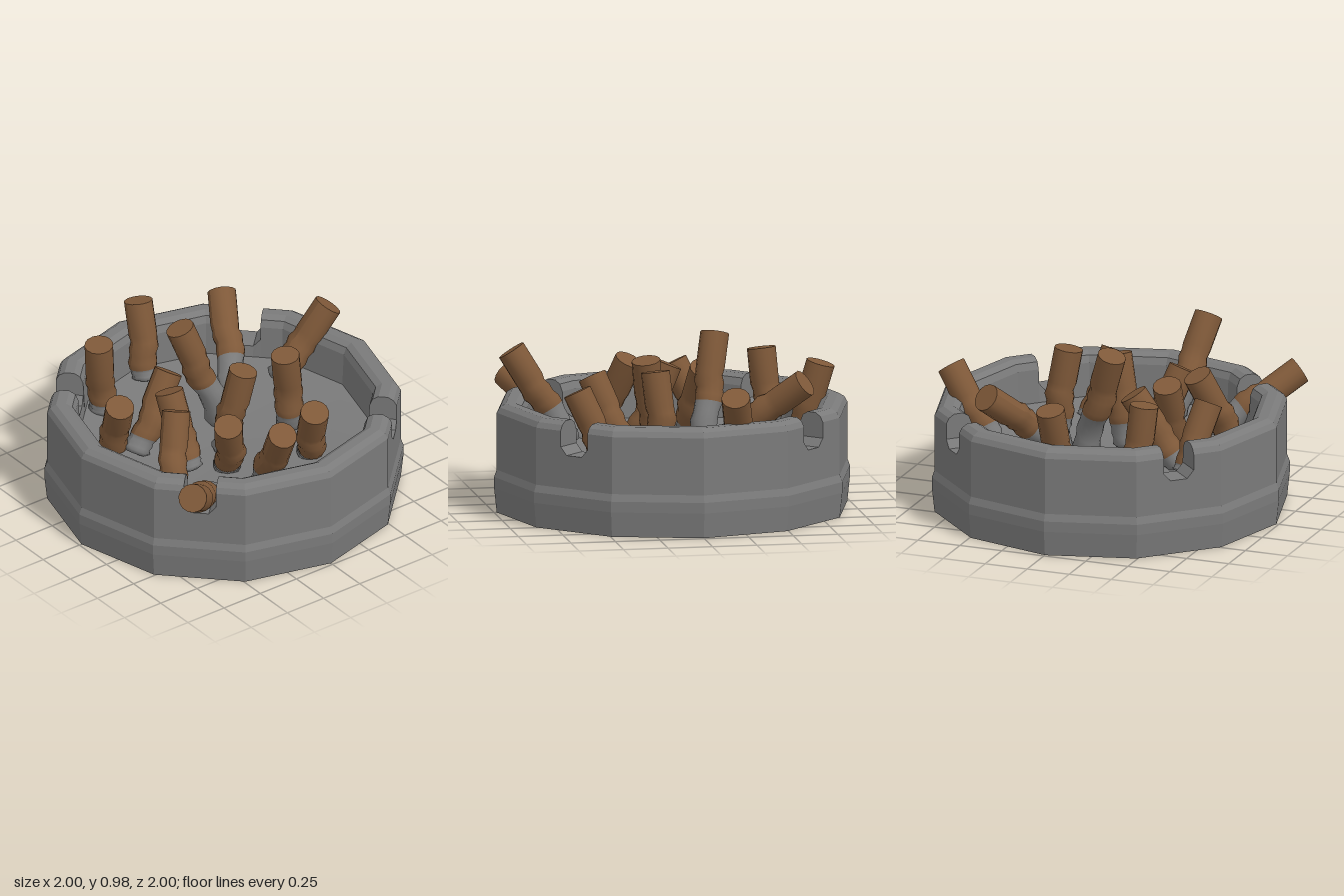
import * as THREE from 'three';

const ashGrey = new THREE.MeshStandardMaterial({ color: 0x7a7a7a });
const glass = new THREE.MeshStandardMaterial({ color: 0x7a7a7a, flatShading: true });
const brownPaper = new THREE.MeshStandardMaterial({ color: 0x7f5939 });
const v2 = (list) => list.map(([x, y]) => new THREE.Vector2(x, y));

function addMesh(parent, name, geometry, material) {
  const mesh = new THREE.Mesh(geometry, material);
  mesh.name = name;
  parent.add(mesh);
}

// Twelve-sided wall; the profile is lowered at the four diagonal notches.
function wallGeometry() {
  const profile = [[0.985, 0], [1, 0.14], [1, 0.2], [0.985, 0.24], [0.985, 0.56], [0.968, 0.59],
    [0.935, 0.61], [0.88, 0.61], [0.845, 0.59], [0.828, 0.55], [0.818, 0.36]];
  // Each station: offset along the side (null = corner), height limit, corner sign.
  const plain = [[null, 9, -1], [null, 9, 1]];
  const notched = [plain[0], [-0.09, 9], [-0.09, 0.47], [-0.05, 0.425],
    [0.05, 0.425], [0.09, 0.47], [0.09, 9], plain[1]];
  const pos = [], index = [], n = profile.length;
  for (let side = 0; side < 12; side++) {
    const angle = (side + 0.5) * Math.PI / 6, c = Math.cos(angle), s = Math.sin(angle);
    const stations = side % 3 === 1 ? notched : plain;
    stations.forEach(([offset, limit, end], k) => {
      const start = pos.length / 3;
      for (const [r, y] of profile) {
        const a = r * Math.cos(Math.PI / 12);
        const t = offset === null ? end * r * Math.sin(Math.PI / 12) : offset;
        pos.push(a * c - t * s, Math.min(y, limit), a * s + t * c);
      }
      if (k === 0) return;
      for (let j = 0; j < n - 1; j++) {
        const p = start - n + j, q = start + j;
        index.push(p, p + 1, q, q, p + 1, q + 1);
      }
    });
  }
  const g = new THREE.BufferGeometry();
  g.setAttribute('position', new THREE.Float32BufferAttribute(pos, 3));
  g.setIndex(index);
  const flat = g.toNonIndexed();
  flat.computeVertexNormals();
  return flat;
}

// Lathe along the butt's axis, with a crumple that starts below the straight tip.
function crumpled(profile, length, phase) {
  const g = new THREE.LatheGeometry(v2(profile), 14);
  const p = g.attributes.position;
  for (let i = 0; i < p.count; i++) {
    const d = length - p.getY(i);
    const k = 0.01 * THREE.MathUtils.smoothstep(d, 0.14, 0.26);
    p.setX(i, p.getX(i) + k * Math.sin(d * 20 + phase));
    p.setZ(i, p.getZ(i) + k * Math.cos(d * 16 + phase * 2));
  }
  g.computeVertexNormals();
  return g;
}

function makeButt(tip, base, phase) {
  const group = new THREE.Group();
  group.name = 'cigaretteButt';
  const from = new THREE.Vector3(...base), axis = new THREE.Vector3(...tip).sub(from);
  const L = axis.length(), brown = Math.min(0.39, L - 0.04), joint = L - brown;

  // Filter: straight end with a sharp rim, wrinkled lower half
  const filter = [[1, 0.076], [0.9, 0.082], [0.8, 0.075], [0.7, 0.084], [0.6, 0.075], [0.5, 0.08], [0, 0.08]]
    .map(([f, r]) => [r, L - f * brown]);
  addMesh(group, 'filter', crumpled([...filter, [0.08, L], [0, L]], L, phase), brownPaper);

  // Paper stub with a squashed, burnt end
  const paper = [[0, 0], [0.055, 0], [0.08, 0.2], [0.07, 0.4], [0.076, 0.6], [0.07, 0.8], [0.076, 1]]
    .map(([r, f]) => [r, f * joint]);
  addMesh(group, 'paper', crumpled(paper, L, phase), ashGrey);

  group.position.copy(from);
  group.quaternion.setFromUnitVectors(new THREE.Vector3(0, 1, 0), axis.normalize());
  return group;
}

export function createModel() {
  const model = new THREE.Group();
  model.name = 'ashtray';

  // Bowl
  addMesh(model, 'wall', wallGeometry(), glass);
  addMesh(model, 'floor', new THREE.LatheGeometry(
    v2([[0.818, 0.36], [0.6, 0.34], [0.5, 0.32], [0, 0.3]]), 12), ashGrey);
  addMesh(model, 'underside', new THREE.LatheGeometry(v2([[0, 0], [0.985, 0]]), 12), glass);

  // Butts: filter end, then stubbed end
  const butts = [
    [[-0.2, 0.76, -0.87], [-0.28, 0.34, -0.58]],
    [[-0.66, 0.76, -0.48], [-0.16, 0.34, -0.2]],
    [[-0.83, 0.79, -0.03], [-0.71, 0.35, 0.0]],
    [[-0.58, 0.8, 0.43], [-0.62, 0.35, 0.38]],
    [[-0.12, 0.7, 0.63], [-0.29, 0.33, 0.55]],
    [[-0.22, 0.73, 0.22], [-0.16, 0.32, 0.48]],
    [[-0.26, 0.95, 0.11], [-0.15, 0.32, -0.1]],
    [[-0.04, 0.74, 0.35], [0.14, 0.32, 0.34]],
    [[0.16, 0.75, 0.45], [0.32, 0.34, 0.6]],
    [[0.4, 0.7, 0.27], [0.25, 0.33, 0.15]],
    [[0.15, 0.83, -0.02], [0.08, 0.31, 0.07]],
    [[0.15, 0.82, -0.31], [0.11, 0.32, -0.38]],
    [[0.57, 0.7, -0.2], [0.41, 0.33, -0.28]],
    [[0.86, 0.865, 0.24], [0.54, 0.35, 0.15]],
    [[0.79, 0.635, 0.81], [0.42, 0.3, 0.38]],
  ];
  butts.forEach(([tip, base], i) => model.add(makeButt(tip, base, i * 1.7)));
  return model;
}
